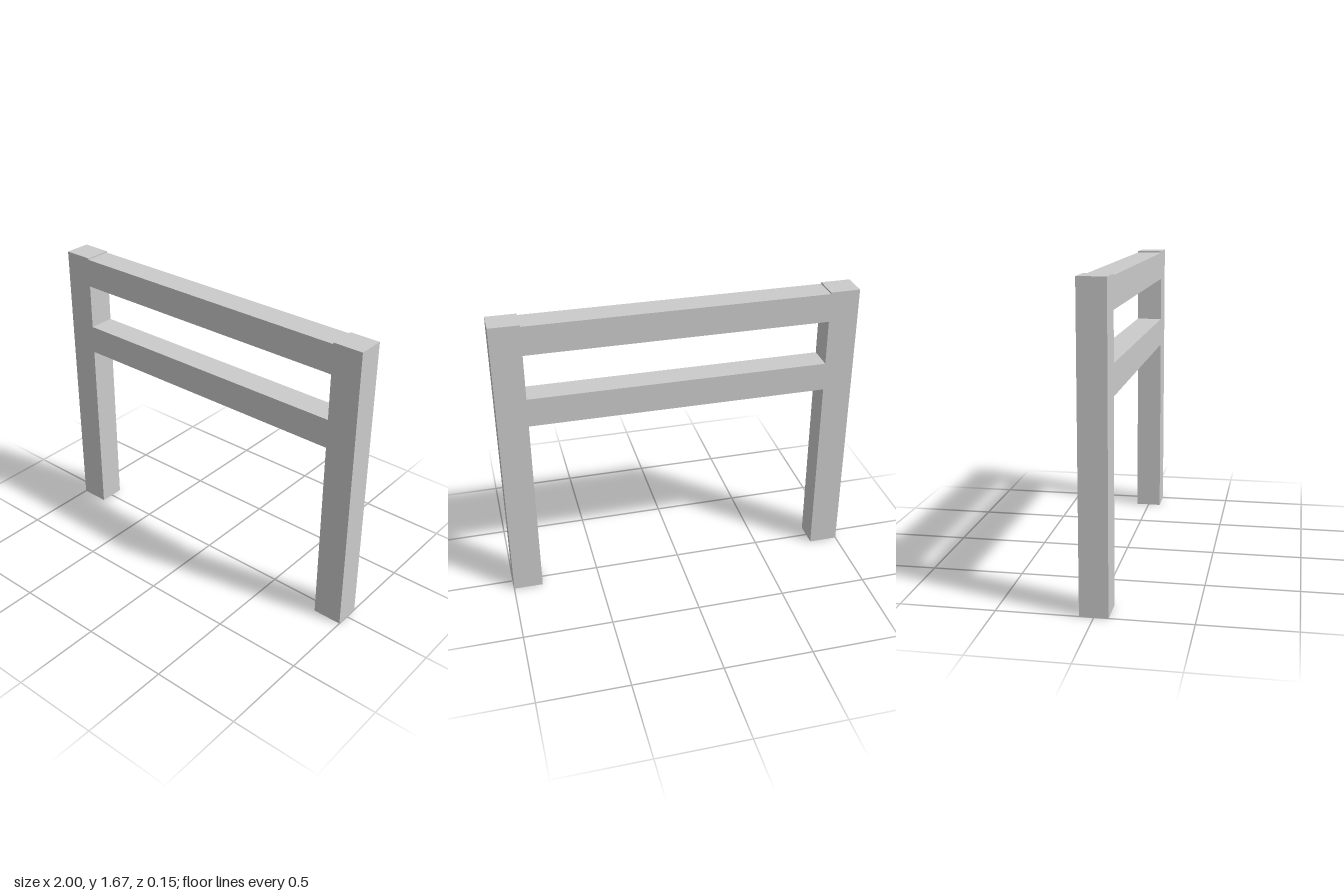
import * as THREE from 'three';

export function createModel() {
  const group = new THREE.Group();
  const material = new THREE.MeshStandardMaterial({ color: 0xcccccc, flatShading: true });
  const height = 1.666, postWidth = 0.166, depth = 0.148, railHeight = 0.163;

  const addBeam = (name, width, tall, x, y) => {
    const mesh = new THREE.Mesh(new THREE.BoxGeometry(width, tall, depth), material);
    mesh.name = name;
    mesh.position.set(x, y, 0);
    group.add(mesh);
  };

  // Two upright posts, mirrored
  for (const side of [1, -1]) {
    addBeam(side > 0 ? 'leftPost' : 'rightPost', postWidth, height, side * (1 - postWidth / 2), height / 2);
  }

  // Rails spanning between the posts, the upper one just below the post tops
  const span = 2 - 2 * postWidth;
  addBeam('upperRail', span, railHeight, 0, 1.576);
  addBeam('lowerRail', span, railHeight, 0, 1.157);

  return group;
}
